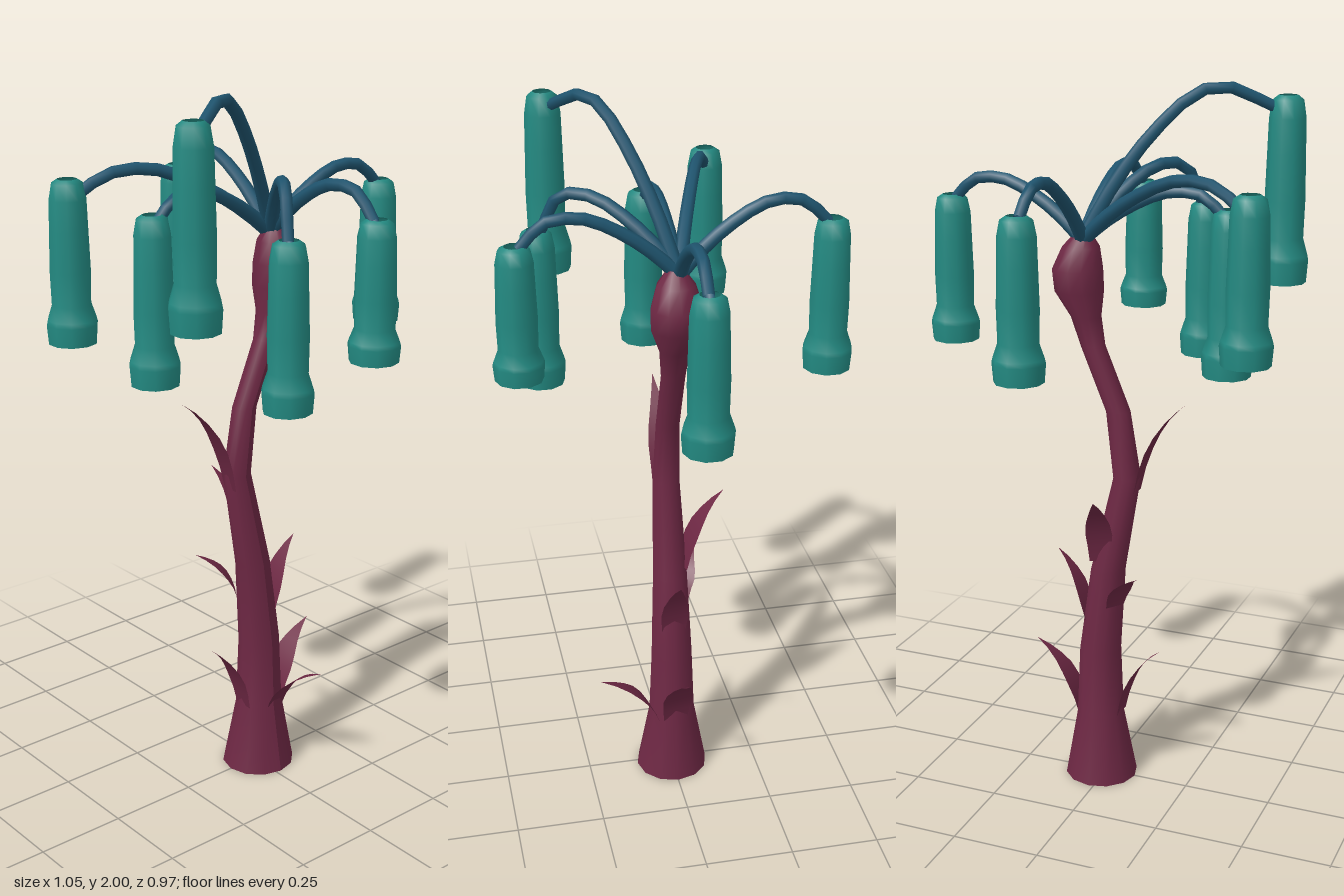
import * as THREE from 'three';

const mat = (color) => new THREE.MeshStandardMaterial({ color, side: THREE.DoubleSide });
const bark = mat(0x6e2844), teal = mat(0x238a82), blue = mat(0x1f546e);
const V = (x, y, z) => new THREE.Vector3(x, y, z);

function add(parent, name, geometry, material) {
  const mesh = new THREE.Mesh(geometry, material);
  mesh.name = name;
  parent.add(mesh);
  return mesh;
}

// Leaning trunk: rings of a cylinder set to [centre x, y, radius], ending in a bulb
function trunkGeometry() {
  const rings = [
    [0.015, 0, 0.105], [0.018, 0.2, 0.068], [0.018, 0.4, 0.06], [-0.006, 0.65, 0.05],
    [-0.062, 0.93, 0.039], [-0.035, 1.12, 0.034], [0.04, 1.3, 0.034], [0.06, 1.38, 0.042],
    [0.08, 1.45, 0.068], [0.085, 1.51, 0.07], [0.075, 1.57, 0.052], [0.068, 1.61, 0.022],
  ];
  const sides = 12, n = rings.length - 1;
  const geo = new THREE.CylinderGeometry(1, 1, n, sides, n);
  const p = geo.attributes.position;
  for (let i = 0; i < p.count; i++) {
    const [x, y, r] = rings[Math.round(p.getY(i) + n / 2)];
    p.setXYZ(i, x + p.getX(i) * r, y, p.getZ(i) * r);
  }
  geo.computeVertexNormals();
  return geo;
}

// Pointed blade that rises from its base and bends out to its tip
function leafGeometry(base, tip, halfWidth) {
  const mid = V(base.x * 0.8 + tip.x * 0.2, base.y * 0.3 + tip.y * 0.7, base.z * 0.8 + tip.z * 0.2);
  const curve = new THREE.QuadraticBezierCurve3(base, mid, tip);
  const across = V(tip.z - base.z, 0, base.x - tip.x).normalize();
  const geo = new THREE.PlaneGeometry(2, 1, 2, 6);
  const p = geo.attributes.position;
  for (let i = 0; i < p.count; i++) {
    const t = p.getY(i) + 0.5;
    const w = halfWidth * (t < 0.4 ? 0.75 + 0.625 * t : (1 - t) / 0.6);
    const q = curve.getPoint(t).addScaledVector(across, p.getX(i) * w);
    p.setXYZ(i, q.x, q.y, q.z);
  }
  geo.computeVertexNormals();
  return geo;
}

// Arching stalk, slightly thinner toward its end
function stalkGeometry(start, end, peak) {
  const arch = [[0.14, 0.33], [0.33, 0.67], [0.56, 0.95], [0.7, 1], [0.85, 0.93]];
  const points = [start];
  for (const [u, h] of arch) {
    const q = start.clone().lerp(end, u);
    q.y = start.y + (peak - start.y) * h;
    points.push(q);
  }
  points.push(end);
  const curve = new THREE.CatmullRomCurve3(points);
  const segments = 10, sides = 7;
  const geo = new THREE.TubeGeometry(curve, segments, 0.018, sides);
  const p = geo.attributes.position;
  for (let i = 0; i < p.count; i++) {
    const t = Math.floor(i / (sides + 1)) / segments;
    const c = curve.getPointAt(t);
    const q = V().fromBufferAttribute(p, i).sub(c).multiplyScalar(1.1 - 0.25 * t).add(c);
    p.setXYZ(i, q.x, q.y, q.z);
  }
  return geo;
}

// Hanging bell, open at both ends: [radius, fraction of height]
function podGeometry(height) {
  const profile = [
    [0.065, 0], [0.069, 0.12], [0.066, 0.15], [0.053, 0.24], [0.055, 0.45],
    [0.052, 0.7], [0.05, 0.88], [0.042, 0.975], [0.026, 1],
  ].map(([r, h]) => new THREE.Vector2(r, h * height));
  return new THREE.LatheGeometry(profile, 10);
}

export function createModel() {
  const model = new THREE.Group();
  model.name = 'bellTree';
  add(model, 'trunk', trunkGeometry(), bark);

  // Leaves: base, tip, half width
  const leaves = [
    [V(0.035, 0.18, 0.05), V(0.065, 0.35, 0.22), 0.047],
    [V(0.075, 0.19, 0), V(0.215, 0.4, -0.01), 0.047],
    [V(-0.045, 0.2, 0.005), V(-0.165, 0.415, 0), 0.042],
    [V(0.045, 0.45, 0), V(0.15, 0.69, 0), 0.042],
    [V(-0.04, 0.55, -0.035), V(-0.135, 0.67, -0.1), 0.04],
    [V(0.005, 0.68, -0.035), V(-0.025, 0.9, -0.16), 0.04],
    [V(-0.09, 0.89, 0.005), V(-0.255, 1.175, 0), 0.035],
  ];
  for (const [base, tip, w] of leaves) add(model, 'leaf', leafGeometry(base, tip, w), bark);

  // Stalks with bells: x, z, bell bottom, bell top, stalk peak
  const bells = [
    [0.46, 0, 1.28, 1.69, 1.745],
    [0.067, -0.418, 1.3, 1.72, 1.78],
    [0.05, 0.413, 1.33, 1.695, 1.76],
    [-0.457, -0.195, 1.34, 1.77, 1.785],
    [-0.342, 0.008, 1.25, 1.695, 1.735],
    [-0.412, 0.27, 1.46, 1.965, 1.99],
    [-0.168, 0.33, 1.22, 1.66, 1.775],
  ];
  const crown = V(0.065, 1.59, -0.01);
  for (const [x, z, bottom, top, peak] of bells) {
    const branch = new THREE.Group();
    branch.name = 'bellBranch';
    const end = crown.clone().lerp(V(x, 0, z), 0.97).setY(Math.min(top, peak - 0.055) - 0.01);
    add(branch, 'stalk', stalkGeometry(crown, end, peak), blue);
    add(branch, 'bell', podGeometry(top - bottom), teal).position.set(x, bottom, z);
    model.add(branch);
  }
  return model;
}
